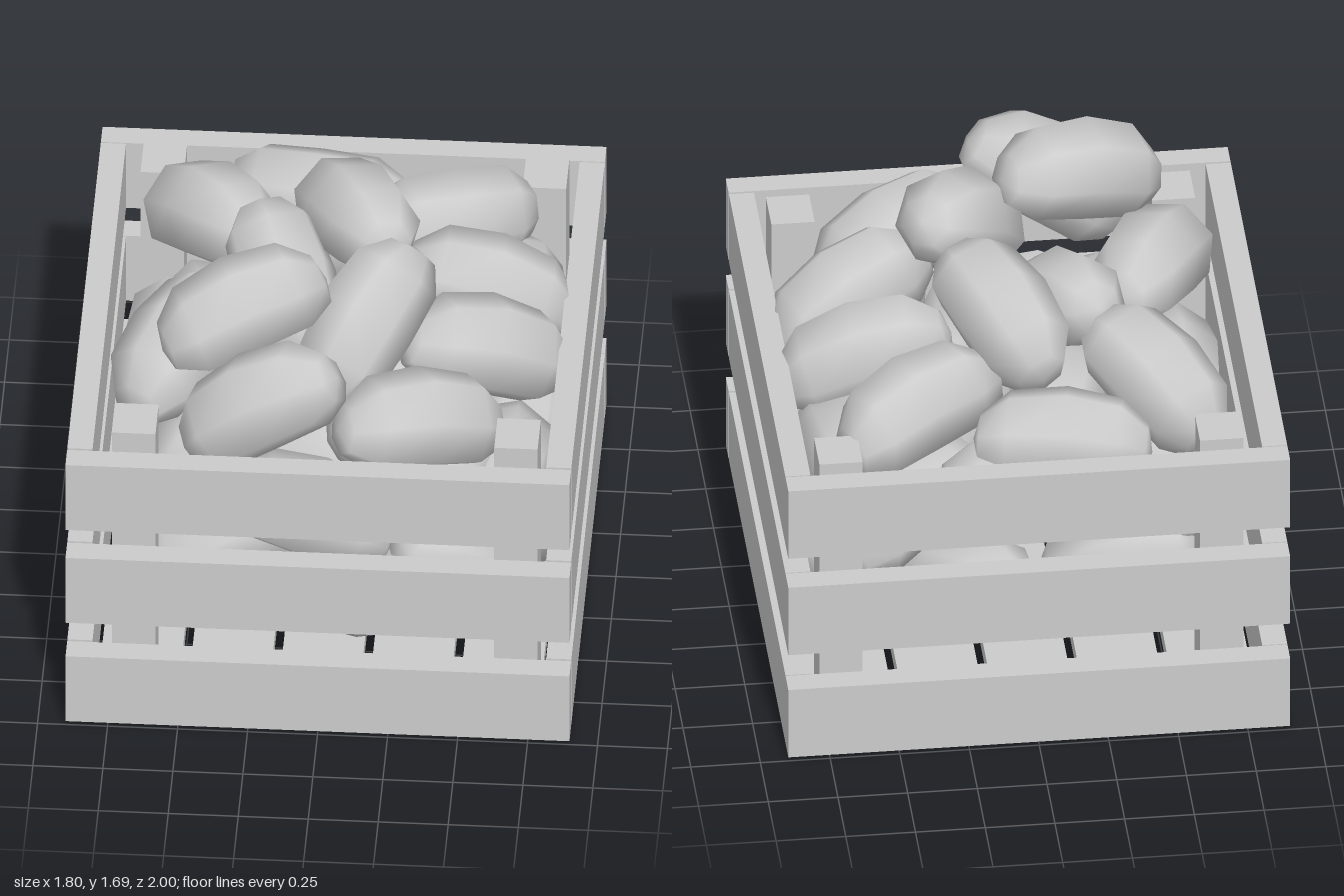
import * as THREE from 'three';
import { mergeVertices } from 'three/addons/utils/BufferGeometryUtils.js';

const material = new THREE.MeshStandardMaterial({ color: 0xcccccc });

// Box given by its extents on each axis
function board(parent, name, [x0, x1], [y0, y1], [z0, z1]) {
  const mesh = new THREE.Mesh(new THREE.BoxGeometry(x1 - x0, y1 - y0, z1 - z0), material);
  mesh.position.set((x0 + x1) / 2, (y0 + y1) / 2, (z0 + z1) / 2);
  mesh.name = name;
  parent.add(mesh);
}

// Blunt seven-sided tuber, slightly bent along its length, with smooth normals
function potatoGeometry() {
  const profile = [[0, -0.32], [0.095, -0.3], [0.17, -0.2], [0.188, 0], [0.17, 0.2], [0.095, 0.3], [0, 0.32]]
    .map(([r, y]) => new THREE.Vector2(r, y));
  let geometry = new THREE.LatheGeometry(profile, 7);
  const p = geometry.attributes.position;
  for (let i = 0; i < p.count; i++) {
    const y = p.getY(i);
    p.setX(i, p.getX(i) + 0.015 - 0.45 * y * y);
  }
  geometry.deleteAttribute('normal');
  geometry.deleteAttribute('uv');
  geometry = mergeVertices(geometry, 1e-4);
  geometry.computeVertexNormals();
  return geometry;
}

// Axis of each potato: start x, y, z, end x, y, z, then an optional roll of its bend
const topLayer = [
  [-0.55, 1.4, 0.55, -0.06, 1.55, 0.35],
  [-0.45, 1.12, 0.73, 0.0, 1.42, 0.76],
  [0.1, 1.2, 0.74, 0.58, 1.06, 0.5],
  [0.33, 1.27, 0.3, 0.77, 1.06, 0.13],
  [0.29, 1.24, -0.16, 0.78, 1.08, -0.14],
  [0.14, 1.22, -0.4, 0.64, 1.12, -0.67, 1.2],
  [-0.06, 1.29, -0.5, 0.17, 1.46, -0.02],
  [0.0, 1.2, 0.52, 0.26, 1.52, 0.16],
  [-0.27, 1.38, -0.24, -0.1, 1.1, 0.18],
  [-0.62, 1.1, -0.66, -0.33, 1.29, -0.27],
  [-0.43, 1.23, 0.06, -0.66, 1.12, 0.5],
  [-0.38, 1.1, -0.76, 0.14, 1.12, -0.66, 1.5],
];
const middleLayer = [
  [-0.58, 0.95, -0.3, -0.58, 0.9, 0.25],
  [-0.22, 0.9, -0.74, 0.25, 0.96, -0.72],
  [0.6, 0.95, -0.58, 0.64, 0.85, -0.15],
  [0.62, 0.84, 0.55, 0.63, 0.68, 0.12],
  [-0.3, 0.84, 0.66, 0.2, 0.66, 0.68],
  [-0.52, 0.75, 0.52, -0.35, 0.95, 0.4],
  [0.1, 0.85, 0.35, 0.35, 0.95, -0.05],
  [-0.25, 0.85, 0.2, -0.1, 0.9, -0.35],
  [-0.52, 0.7, -0.55, -0.45, 0.9, -0.25],
  [0.3, 0.8, -0.4, 0.55, 0.7, -0.6],
  [0.4, 0.9, 0.6, 0.5, 0.75, 0.3],
];
const bottomLayer = [
  [0.03, 0.62, 0.62, 0.14, 0.25, 0.5],
  [-0.52, 0.42, 0.5, -0.22, 0.52, 0.42],
  [0.62, 0.55, 0.4, 0.66, 0.3, 0.12],
  [0.66, 0.55, -0.48, 0.62, 0.32, -0.2],
  [-0.58, 0.5, 0.2, -0.55, 0.4, -0.25],
  [-0.5, 0.55, -0.6, -0.15, 0.35, -0.5],
  [0.1, 0.5, -0.7, 0.35, 0.35, -0.4],
  [-0.2, 0.5, -0.1, 0.2, 0.35, 0.05],
  [0.42, 0.52, 0.55, 0.6, 0.35, 0.45],
];

export function createModel() {
  const model = new THREE.Group();
  const crate = new THREE.Group();
  crate.name = 'crate';
  model.add(crate);

  // Three tiers of wall slats
  for (const y of [[0.015, 0.305], [0.455, 0.745], [0.87, 1.16]]) {
    board(crate, 'frontSlat', [-0.9, 0.9], y, [0.91, 1]);
    board(crate, 'backSlat', [-0.9, 0.9], y, [-1, -0.91]);
    board(crate, 'leftSlat', [0.81, 0.9], y, [-0.905, 0.9]);
    board(crate, 'rightSlat', [-0.9, -0.81], y, [-0.905, 0.9]);
  }

  // Corner posts
  for (const x of [[-0.745, -0.59], [0.62, 0.775]])
    for (const z of [[-0.88, -0.71], [0.655, 0.83]])
      board(crate, 'cornerPost', x, [0.02, 1.185], z);

  // Floor planks
  for (let i = 0; i < 5; i++) {
    const x = -0.795 + i * 0.322;
    board(crate, 'floorPlank', [x, x + 0.288], [0, 0.06], [-0.905, 0.89]);
  }

  // Heap of potatoes, each bent downward at its ends unless rolled
  const heap = new THREE.Group();
  heap.name = 'potatoes';
  model.add(heap);
  const geometry = potatoGeometry();
  for (const [ax, ay, az, bx, by, bz, roll = 0] of [...topLayer, ...middleLayer, ...bottomLayer]) {
    const a = new THREE.Vector3(ax, ay, az);
    const b = new THREE.Vector3(bx, by, bz);
    const axis = b.clone().sub(a).normalize();
    const side = new THREE.Vector3(0, 1, 0).projectOnPlane(axis).normalize().applyAxisAngle(axis, roll);
    const basis = new THREE.Matrix4().makeBasis(side, axis, side.clone().cross(axis));
    const potato = new THREE.Mesh(geometry, material);
    potato.name = 'potato';
    potato.quaternion.setFromRotationMatrix(basis);
    potato.position.copy(a).add(b).multiplyScalar(0.5);
    heap.add(potato);
  }
  return model;
}
